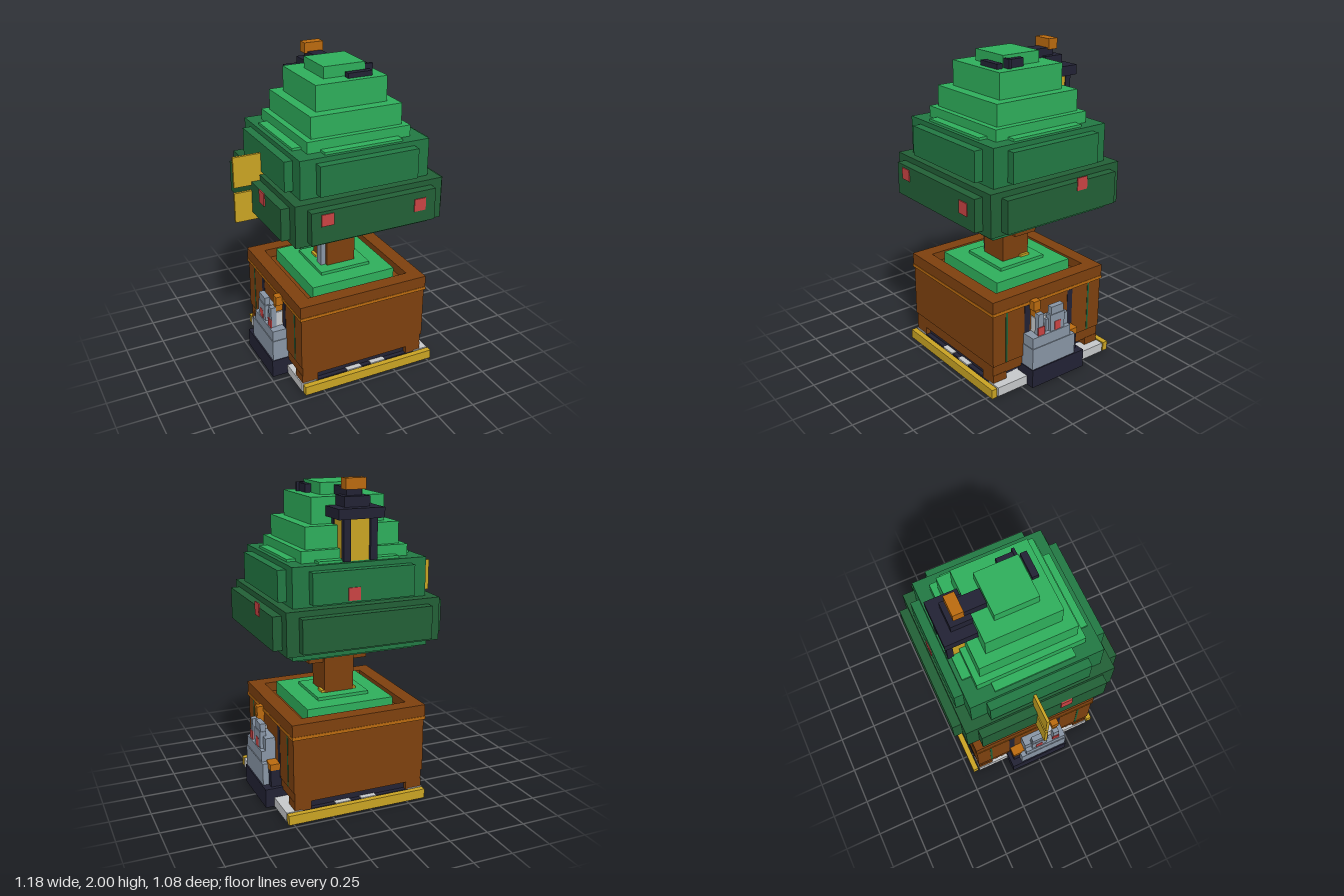
import * as THREE from 'three';

const mat = (name, color) => {
  const m = new THREE.MeshStandardMaterial({ color });
  m.name = name;
  return m;
};

export function createModel() {
  const brown = mat('brown wood', 0x7d400e);
  const orange = mat('orange wood', 0xba6a0f);
  const yellow = mat('yellow', 0xc9a323);
  const lightGreen = mat('light green', 0x2eae5b);
  const midGreen = mat('mid green', 0x227843);
  const darkGreen = mat('dark green', 0x225f36);
  const navy = mat('navy', 0x222234);
  const grey = mat('grey', 0x8895a5);
  const white = mat('pale grey', 0xc6c8ca);
  const red = mat('red', 0xc94343);

  const model = new THREE.Group();
  model.name = 'pottedTree';
  const CX = 0.051; // axis of the crate and tree

  const part = (name) => {
    const g = new THREE.Group();
    g.name = name;
    model.add(g);
    return g;
  };
  // Box given by its limits on each axis
  const box = (g, name, m, x0, x1, y0, y1, z0, z1) => {
    const mesh = new THREE.Mesh(new THREE.BoxGeometry(x1 - x0, y1 - y0, z1 - z0), m);
    mesh.position.set((x0 + x1) / 2, (y0 + y1) / 2, (z0 + z1) / 2);
    mesh.name = name;
    g.add(mesh);
  };
  // Box centred on the tree axis
  const tier = (g, name, m, hx, hz, y0, y1, cz = -0.005) =>
    box(g, name, m, CX - hx, CX + hx, y0, y1, cz - hz, cz + hz);
  // Same box on both sides of the axis
  const pair = (g, name, m, x0, x1, y0, y1, z0, z1) => {
    box(g, name, m, x0, x1, y0, y1, z0, z1);
    box(g, name, m, 2 * CX - x1, 2 * CX - x0, y0, y1, z0, z1);
  };

  // Pallet
  const pallet = part('pallet');
  for (const z of [-0.452, 0.452]) box(pallet, 'yellowRail', yellow, -0.375, 0.53, 0, 0.06, z - 0.018, z + 0.018);
  for (const x of [-0.33, -0.01, 0.16, 0.48]) box(pallet, 'runner', white, x - 0.05, x + 0.05, 0, 0.06, -0.425, 0.425);
  tier(pallet, 'deck', navy, 0.43, 0.42, 0.006, 0.055, 0);
  tier(pallet, 'underside', darkGreen, 0.11, 0.28, 0.002, 0.01, 0);
  tier(pallet, 'spacer', navy, 0.32, 0.39, 0.055, 0.11, 0);

  // Crate
  const crate = part('crate');
  for (const z of [-0.37, 0.37]) pair(crate, 'foot', brown, 0.37, 0.475, 0.055, 0.11, z - 0.05, z + 0.05);
  tier(crate, 'lowerBand', brown, 0.422, 0.42, 0.105, 0.18, 0);
  tier(crate, 'body', brown, 0.43, 0.425, 0.175, 0.55, 0);
  tier(crate, 'stripe', orange, 0.438, 0.433, 0.515, 0.535, 0);
  for (const s of [-1, 1]) {
    box(crate, 'rimSide', brown, CX + s * 0.391 - 0.045, CX + s * 0.391 + 0.045, 0.535, 0.61, -0.43, 0.43);
    tier(crate, 'rimEnd', brown, 0.35, 0.045, 0.535, 0.61, s * 0.385);
    pair(crate, 'sideGap', darkGreen, 0.478, 0.483, 0.18, 0.512, s * 0.325 - 0.007, s * 0.325 + 0.007);
    pair(crate, 'sideSlot', navy, 0.478, 0.483, 0.18, 0.51, s * 0.17 - 0.02, s * 0.17 + 0.02);
  }
  tier(crate, 'moss', lightGreen, 0.284, 0.285, 0.545, 0.635, 0);
  tier(crate, 'mossTop', lightGreen, 0.17, 0.17, 0.635, 0.655, 0);

  // Stepped stone stacks on both sides
  const stacks = part('sideStacks');
  pair(stacks, 'stackBase', navy, 0.44, 0.585, 0, 0.12, -0.205, 0.205);
  pair(stacks, 'stackLower', grey, 0.44, 0.577, 0.12, 0.26, -0.135, 0.2);
  pair(stacks, 'stackUpper', grey, 0.44, 0.572, 0.26, 0.33, -0.1, 0.195);
  pair(stacks, 'shoulder', grey, 0.48, 0.545, 0.33, 0.41, -0.1, 0.075);
  pair(stacks, 'peak', grey, 0.525, 0.565, 0.33, 0.44, -0.055, 0.055);
  pair(stacks, 'peakTip', grey, 0.525, 0.56, 0.44, 0.49, -0.05, 0.045);
  pair(stacks, 'sideTower', grey, 0.525, 0.56, 0.33, 0.47, 0.105, 0.145);
  pair(stacks, 'paleBlock', white, 0.48, 0.527, 0.33, 0.43, 0.06, 0.14);
  pair(stacks, 'orangeCap', orange, 0.48, 0.528, 0.485, 0.545, 0.105, 0.155);
  pair(stacks, 'orangeNeck', orange, 0.478, 0.53, 0.44, 0.485, 0.112, 0.145);
  pair(stacks, 'redMark', red, 0.56, 0.567, 0.33, 0.39, -0.025, 0.022);
  pair(stacks, 'redMark', red, 0.558, 0.566, 0.33, 0.385, 0.1, 0.15);
  pair(stacks, 'lowPost', navy, 0.47, 0.54, 0.12, 0.23, -0.18, -0.135);
  pair(stacks, 'lowCap', orange, 0.47, 0.545, 0.23, 0.27, -0.185, -0.12);
  pair(stacks, 'lowStrip', orange, 0.47, 0.54, 0.24, 0.27, -0.12, -0.07);

  // Trunk and branches
  const trunk = part('trunk');
  tier(trunk, 'stem', brown, 0.098, 0.1, 0.64, 0.9, 0);
  tier(trunk, 'stemTop', orange, 0.08, 0.07, 0.9, 0.99, 0);
  pair(trunk, 'branch', brown, 0.14, 0.245, 0.85, 0.99, -0.08, 0.08);
  box(trunk, 'greyPost', grey, -0.08, -0.047, 0.65, 0.85, 0.02, 0.08);
  pair(trunk, 'rootPlate', yellow, 0.12, 0.167, 0.65, 0.67, -0.095, -0.03);

  // Foliage tiers with raised side plates
  const foliage = part('foliage');
  tier(foliage, 'underside', midGreen, 0.373, 0.373, 0.975, 1.01);
  tier(foliage, 'undersideUpper', midGreen, 0.428, 0.428, 1.0, 1.045);
  tier(foliage, 'lowerTier', darkGreen, 0.48, 0.48, 1.04, 1.3);
  tier(foliage, 'lowerEndPlate', darkGreen, 0.405, 0.535, 1.065, 1.265);
  tier(foliage, 'lowerSidePlate', darkGreen, 0.535, 0.405, 1.065, 1.265);
  tier(foliage, 'middleTier', midGreen, 0.418, 0.415, 1.295, 1.535);
  tier(foliage, 'middleEndPlate', midGreen, 0.318, 0.47, 1.32, 1.505);
  tier(foliage, 'middleSidePlate', midGreen, 0.47, 0.316, 1.32, 1.505);
  tier(foliage, 'leafSkirtEnd', lightGreen, 0.252, 0.39, 1.53, 1.55);
  tier(foliage, 'leafSkirtSide', lightGreen, 0.39, 0.25, 1.53, 1.55);
  [[0.335, 0.335, 1.53, 1.605], [0.295, 0.298, 1.6, 1.735], [0.231, 0.23, 1.73, 1.89], [0.135, 0.132, 1.885, 1.96]]
    .forEach((t) => tier(foliage, 'crownTier', lightGreen, ...t));

  // Red ornaments
  const marks = part('redOrnaments');
  box(marks, 'frontOrnament', red, -0.295, -0.217, 1.175, 1.247, 0.527, 0.536);
  box(marks, 'frontOrnament', red, 0.31, 0.387, 1.142, 1.22, 0.527, 0.536);
  box(marks, 'leftOrnament', red, 0.582, 0.59, 1.21, 1.288, -0.18, -0.105);
  box(marks, 'rightOrnament', red, -0.492, -0.483, 1.19, 1.27, 0.098, 0.17);
  box(marks, 'backOrnament', red, 0.08, 0.155, 1.33, 1.405, -0.481, -0.473);

  // Two signs on the right side
  const signs = part('signs');
  box(signs, 'lowerSign', yellow, -0.595, -0.37, 1.015, 1.207, -0.055, -0.037);
  box(signs, 'upperSign', yellow, -0.595, -0.4, 1.243, 1.437, -0.055, -0.037);

  // Lantern on the back of the crown
  const lantern = part('lantern');
  tier(lantern, 'glass', yellow, 0.096, 0.085, 1.54, 1.785, -0.31);
  pair(lantern, 'backPost', navy, 0.112, 0.155, 1.54, 1.785, -0.415, -0.378);
  pair(lantern, 'innerPost', navy, 0.112, 0.155, 1.54, 1.785, -0.26, -0.23);
  tier(lantern, 'cap', navy, 0.142, 0.097, 1.78, 1.84, -0.333);
  tier(lantern, 'capTop', navy, 0.079, 0.065, 1.84, 1.9, -0.3);
  tier(lantern, 'hangingArm', navy, 0.047, 0.09, 1.89, 1.945, -0.23);
  box(lantern, 'handle', orange, -0.014, 0.112, 1.935, 2, -0.34, -0.275);

  // Small dark frame resting on the crown
  const frame = part('crownFrame');
  box(frame, 'frontBar', navy, 0.046, 0.204, 1.888, 1.92, 0.145, 0.185);
  box(frame, 'sideBar', navy, 0.185, 0.222, 1.888, 1.94, 0.008, 0.11);
  box(frame, 'corner', navy, 0.185, 0.238, 1.888, 1.945, 0.108, 0.126);

  return model;
}
